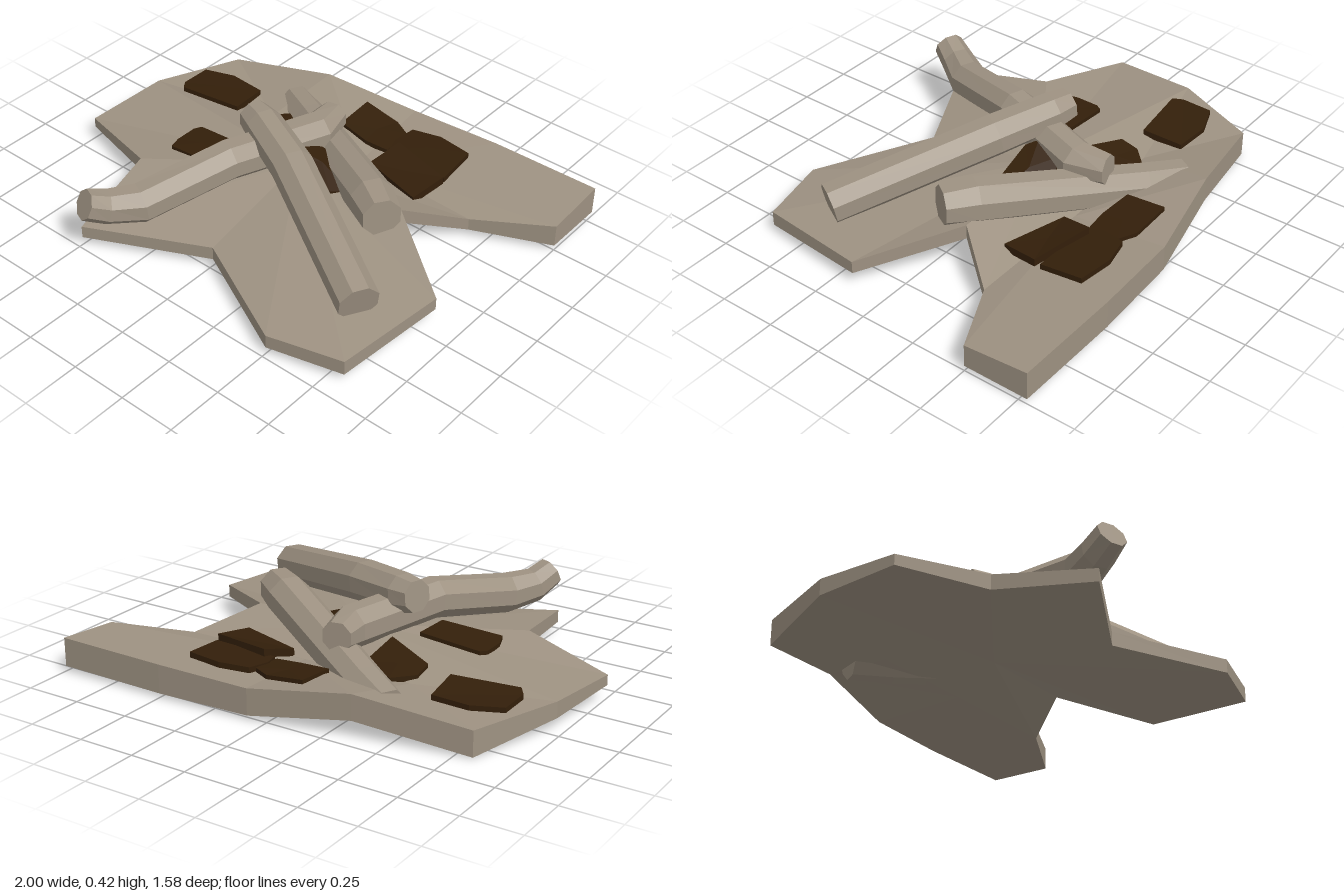
import * as THREE from 'three';

const wood = new THREE.MeshStandardMaterial({ color: 0x9e9282 });
wood.name = 'weathered grey';
const bark = new THREE.MeshStandardMaterial({ color: 0x331f0a });
bark.name = 'dark brown';

// Flat-faced mesh from a list of triangles (arrays of three Vector3)
function facetMesh(name, tris, material) {
  const geo = new THREE.BufferGeometry().setFromPoints(tris.flat());
  geo.computeVertexNormals();
  const mesh = new THREE.Mesh(geo, material);
  mesh.name = name;
  return mesh;
}

// Ground slab rim: x, z, bottom y, top y
const rim = [
  [-0.97, -0.21, 0.06, 0.13], [-0.82, -0.59, 0.01, 0.12], [-0.35, -0.69, 0.08, 0.19], [0.08, -0.77, 0.025, 0.14],
  [0.5, -0.79, 0.025, 0.15], [1, -0.79, 0.03, 0.155], [1, -0.5, 0.03, 0.13], [0.68, -0.34, 0.045, 0.1],
  [0.5, -0.11, 0.13, 0.195], [0.88, 0.16, 0.065, 0.12], [0.82, 0.65, 0.04, 0.105], [0.5, 0.73, 0.04, 0.1],
  [0, 0.48, 0.04, 0.1], [-0.5, 0.73, 0.045, 0.1], [-0.58, 0.3, 0.1, 0.165], [-1, 0.17, 0.065, 0.11],
];
// Inner points: the raised middle and the shallow valley behind it
const inner = [[-0.02, -0.08, 0.1, 0.2], [0.1, -0.35, 0.05, 0.11], [-0.4, -0.35, 0.045, 0.12]];
const N = rim.length, MID = N, DIP = N + 1, DIP2 = N + 2;

const slabTris = [[MID, 0, DIP2], [MID, DIP2, DIP], [MID, DIP, 7], [DIP2, 2, DIP]];
for (let i = 0; i < N; i++) slabTris.push([i < 2 ? DIP2 : i < 7 ? DIP : MID, i, (i + 1) % N]);

// Closed plate from rim points (clockwise from above) and inner triangles
function plate(name, points, rimCount, faces, material) {
  const lo = points.map(([x, z, y]) => new THREE.Vector3(x, y, z));
  const hi = points.map(([x, z, , y]) => new THREE.Vector3(x, y, z));
  const tris = [];
  for (const [a, b, c] of faces) tris.push([hi[a], hi[c], hi[b]], [lo[a], lo[b], lo[c]]);
  for (let i = 0; i < rimCount; i++) {
    const j = (i + 1) % rimCount;
    tris.push([hi[i], hi[j], lo[i]], [lo[i], hi[j], lo[j]]);
  }
  return facetMesh(name, tris, material);
}

// Height of the slab's upper surface at x, z
function slabHeight(x, z) {
  const pts = [...rim, ...inner];
  for (const t of slabTris) {
    const [a, b, c] = t.map((i) => pts[i]);
    const d = (b[1] - c[1]) * (a[0] - c[0]) + (c[0] - b[0]) * (a[1] - c[1]);
    const u = ((b[1] - c[1]) * (x - c[0]) + (c[0] - b[0]) * (z - c[1])) / d;
    const v = ((c[1] - a[1]) * (x - c[0]) + (a[0] - c[0]) * (z - c[1])) / d;
    if (u >= -1e-6 && v >= -1e-6 && u + v <= 1 + 1e-6) return u * a[3] + v * b[3] + (1 - u - v) * c[3];
  }
  return 0.1;
}

// Bark chip lying on the slab, optionally tilted along x and z
function chip(name, outline, lift, tiltX, tiltZ) {
  const n = outline.length;
  const cx = outline.reduce((s, p) => s + p[0], 0) / n;
  const cz = outline.reduce((s, p) => s + p[1], 0) / n;
  const pts = [...outline, [cx, cz]].map(([x, z]) => {
    const y = slabHeight(x, z) + lift + tiltX * (x - cx) + tiltZ * (z - cz);
    return [x, z, y - 0.035, y];
  });
  return plate(name, pts, n, outline.map((_, i) => [n, i, (i + 1) % n]), bark);
}

// Faceted log swept along a path of [x, y, z, radius]
function log(name, path, sides = 8) {
  const pts = path.map(([x, y, z]) => new THREE.Vector3(x, y, z));
  const up = new THREE.Vector3(0, 1, 0);
  const rings = pts.map((p, i) => {
    const t = pts[Math.min(i + 1, pts.length - 1)].clone().sub(pts[Math.max(i - 1, 0)]).normalize();
    const s = t.clone().cross(up).normalize();
    const u = s.clone().cross(t);
    return Array.from({ length: sides }, (_, k) => {
      const a = ((k + 0.5) / sides) * Math.PI * 2, r = path[i][3];
      return p.clone().addScaledVector(s, Math.cos(a) * r).addScaledVector(u, Math.sin(a) * r);
    });
  });
  const tris = [], last = rings.length - 1;
  for (let k = 0; k < sides; k++) {
    const m = (k + 1) % sides;
    for (let i = 0; i < last; i++) {
      const [a, b] = [rings[i], rings[i + 1]];
      tris.push([a[k], b[k], a[m]], [a[m], b[k], b[m]]);
    }
    tris.push([pts[0], rings[0][k], rings[0][m]], [pts[last], rings[last][m], rings[last][k]]);
  }
  return facetMesh(name, tris, wood);
}

export function createModel() {
  const model = new THREE.Group();
  model.name = 'logPile';

  model.add(plate('groundSlab', [...rim, ...inner], N, slabTris, wood));

  // Three crossed logs
  model.add(
    log('bentLog', [[-0.44, 0.262, 0.755, 0.066], [-0.405, 0.22, 0.67, 0.074], [-0.33, 0.205, 0.55, 0.086],
      [-0.19, 0.275, 0.17, 0.088], [-0.055, 0.25, -0.25, 0.09], [-0.08, 0.255, -0.385, 0.066]]),
    log('lowLog', [[-0.415, 0.085, -0.535, 0.085], [-0.25, 0.11, -0.44, 0.09],
      [0.39, 0.23, -0.055, 0.098], [0.5, 0.235, 0.02, 0.086]]),
    log('topLog', [[-0.25, 0.36, -0.055, 0.07], [-0.17, 0.352, -0.03, 0.084],
      [0.08, 0.322, 0.08, 0.09], [0.71, 0.18, 0.43, 0.088]]),
  );

  // Scattered bark chips: lift, tilts, outline
  const chips = [
    [0.022, 0, 0, [-0.85, -0.4], [-0.72, -0.45], [-0.55, -0.44], [-0.53, -0.26], [-0.82, -0.22], [-0.85, -0.26]],
    [0.015, 0, 0, [-0.41, -0.31], [-0.33, -0.39], [-0.16, -0.31], [-0.18, -0.13], [-0.41, -0.23]],
    [0.017, 0, 0, [-0.55, 0], [-0.53, -0.03], [-0.25, -0.03], [-0.25, 0.15], [-0.53, 0.16], [-0.55, 0.1]],
    [0.05, -0.33, 0, [-0.04, -0.18], [0.08, -0.21], [0.14, -0.17], [0.26, -0.08], [0.2, -0.02], [0, -0.02], [-0.04, -0.06]],
    [0.018, 0, 0, [-0.1, -0.65], [0.08, -0.64], [0.16, -0.6], [0.16, -0.46], [0.05, -0.45], [-0.1, -0.47]],
    [0.025, 0, 0, [0.17, -0.63], [0.3, -0.66], [0.46, -0.64], [0.47, -0.45], [0.17, -0.46], [0.15, -0.53]],
    [0.036, 0, -0.2, [0.2, -0.49], [0.48, -0.43], [0.45, -0.26], [0.16, -0.34]],
  ];
  chips.forEach(([lift, tx, tz, ...outline], i) => model.add(chip(`barkChip${i + 1}`, outline, lift, tx, tz)));
  return model;
}
